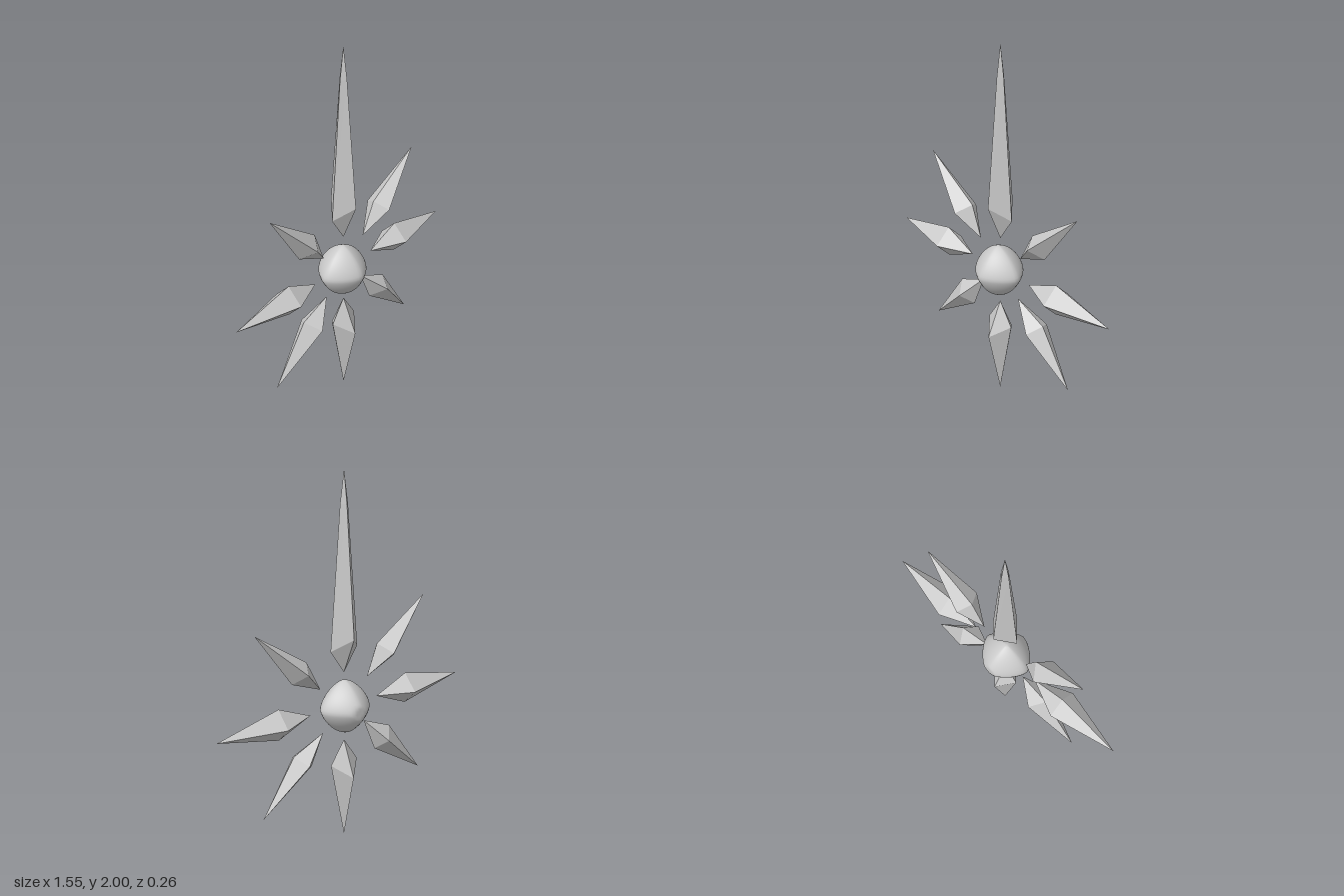
import * as THREE from 'three';
import { mergeVertices } from 'three/addons/utils/BufferGeometryUtils.js';

const Z = -0.005; // mid plane of the shards

// Four-sided shard. Each section is [left, right, ridge, depth]:
// left/right corners and the front/back ridge as [x, y], seen looking outwards.
function shardGeometry(inner, outer, sections) {
  const at = ([x, y], z = 0) => [x, y, Z + z];
  const rings = sections.map(([l, r, m, d]) => [at(l), at(m, d), at(r), at(m, -d)]);
  const pos = [];
  const tri = (...corners) => corners.forEach((c) => pos.push(...c));
  const last = rings.length - 1;
  for (let i = 0; i < 4; i++) {
    const j = (i + 1) % 4;
    tri(rings[0][j], rings[0][i], at(inner));
    for (let k = 0; k < last; k++) {
      const a = rings[k], b = rings[k + 1];
      tri(a[i], a[j], b[j]);
      tri(a[i], b[j], b[i]);
    }
    tri(rings[last][i], rings[last][j], at(outer));
  }
  const g = new THREE.BufferGeometry();
  g.setAttribute('position', new THREE.Float32BufferAttribute(pos, 3));
  g.computeVertexNormals();
  return g;
}

// Rounded octahedron: a sphere pushed onto a superellipsoid, flattened at the back
function coreGeometry() {
  let g = new THREE.SphereGeometry(1, 48, 32);
  const p = g.attributes.position;
  const v = new THREE.Vector3();
  const e = 1.45;
  for (let i = 0; i < p.count; i++) {
    v.fromBufferAttribute(p, i);
    const n = Math.abs(v.x) ** e + Math.abs(v.y) ** e + Math.abs(v.z) ** e;
    v.multiplyScalar(n ** (-1 / e));
    const z = v.z > 0 ? v.z * 0.132 : Math.max(v.z * 0.148, -0.132);
    p.setXYZ(i, v.x * 0.147, v.y * 0.148, z);
  }
  g.deleteAttribute('uv');
  g.deleteAttribute('normal');
  g = mergeVertices(g, 1e-5);
  g.computeVertexNormals();
  return g;
}

export function createModel() {
  const group = new THREE.Group();
  const flat = new THREE.MeshStandardMaterial({ color: 0xcccccc, flatShading: true });
  const smooth = new THREE.MeshStandardMaterial({ color: 0xcccccc });

  const core = new THREE.Mesh(coreGeometry(), smooth);
  core.name = 'core';
  core.position.set(-0.008, 0.747, 0);
  group.add(core);

  const shards = {
    // long upper blade with a second section near its tip
    topShard: [[0, 0.94], [0, 2], [
      [[-0.085, 1.07], [0.085, 1.07], [0, 1.14], 0.085],
      [[-0.024, 1.83], [0.024, 1.83], [0, 1.83], 0.024]]],
    bottomShard: [[0, 0.56], [0, 0], [
      [[0.085, 0.43], [-0.085, 0.43], [0, 0.365], 0.085]]],
    leftShard: [[0.215, 0.753], [0.775, 0.753], [
      [[0.41, 0.838], [0.41, 0.668], [0.41, 0.753], 0.086]]],
    rightShard: [[-0.215, 0.753], [-0.775, 0.753], [
      [[-0.41, 0.668], [-0.41, 0.838], [-0.41, 0.753], 0.086]]],
    // shorter diagonal shards
    upperLeftShard: [[0.15, 0.88], [0.54, 1.255], [
      [[0.235, 1.05], [0.325, 0.95], [0.275, 1.01], 0.075]]],
    upperRightShard: [[-0.15, 0.88], [-0.525, 1.26], [
      [[-0.33, 0.96], [-0.215, 1.05], [-0.27, 1.005], 0.075]]],
    lowerLeftShard: [[0.135, 0.635], [0.515, 0.25], [
      [[0.32, 0.55], [0.21, 0.465], [0.275, 0.51], 0.075]]],
    lowerRightShard: [[-0.13, 0.635], [-0.515, 0.255], [
      [[-0.205, 0.45], [-0.305, 0.56], [-0.245, 0.51], 0.075]]],
  };
  for (const [name, shape] of Object.entries(shards)) {
    const mesh = new THREE.Mesh(shardGeometry(...shape), flat);
    mesh.name = name;
    group.add(mesh);
  }
  return group;
}
